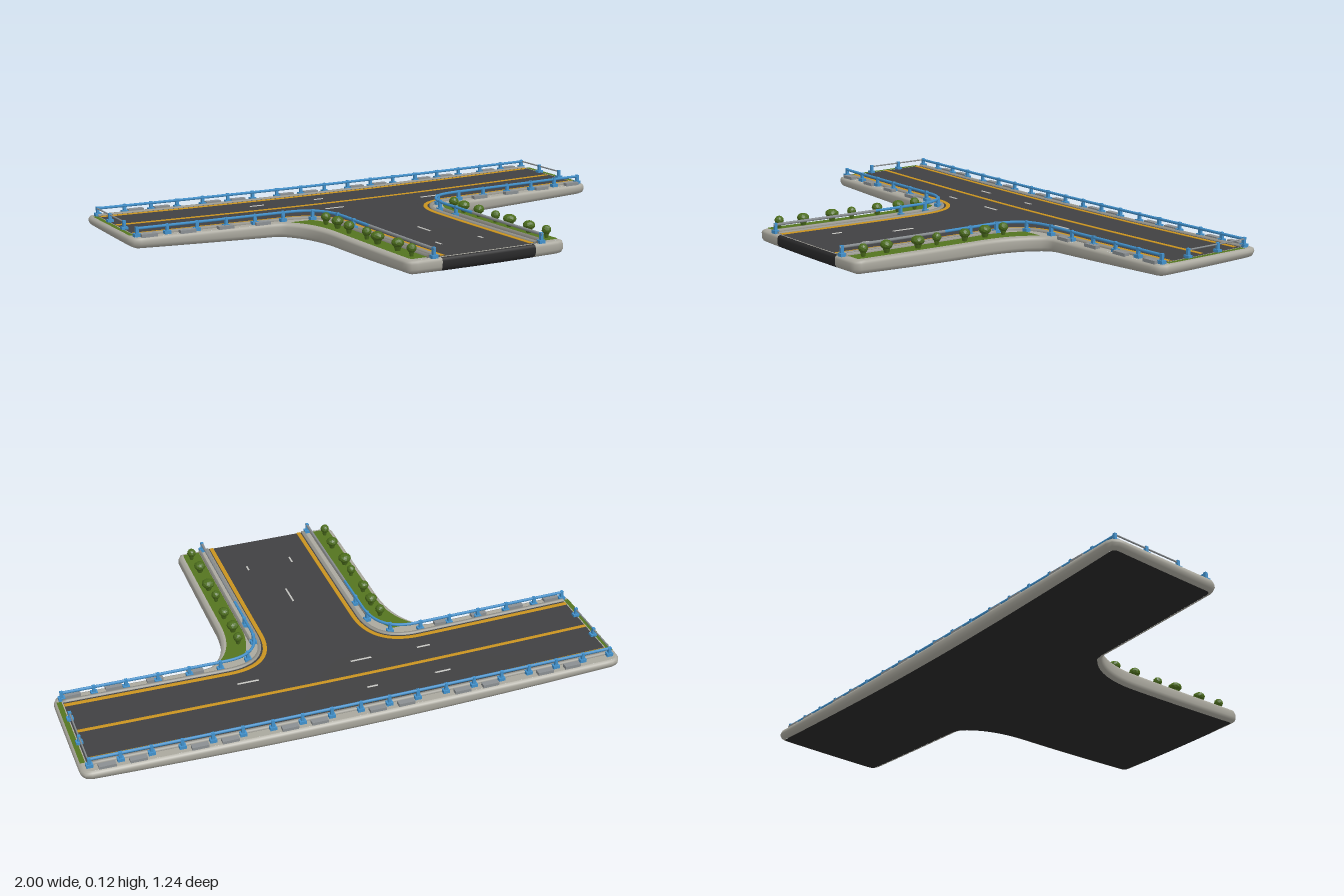
import * as THREE from 'three';

const mat = (name, color, side = THREE.FrontSide) => {
  const m = new THREE.MeshStandardMaterial({ color, side });
  m.name = name;
  return m;
};

// Dished height rules for the deck, underside and handrails
const dish = (x, z) => Math.hypot(x, z) ** 1.3;
const topY = (x, z) => 0.061 + 0.014 * dish(x, z);
const bottomY = (x, z) => 0.035 * dish(x, z);
const railY = (x, z) => 0.097 + 0.008 * dish(x, z);

function geometryFrom(positions, indices) {
  const g = new THREE.BufferGeometry();
  g.setAttribute('position', new THREE.Float32BufferAttribute(positions, 3));
  g.setIndex(indices);
  g.computeVertexNormals();
  return g;
}

// Plan points (x, z) shifted sideways by d; positive is inward for the outline
const offset = (pts, d, closed) => pts.map((p, i) => {
  const n = pts.length;
  const a = pts[closed ? (i + n - 1) % n : Math.max(i - 1, 0)];
  const b = pts[closed ? (i + 1) % n : Math.min(i + 1, n - 1)];
  const t = b.clone().sub(a).normalize();
  return new THREE.Vector2(p.x + t.y * d, p.y - t.x * d);
});

// Curved sheet filling a plan polygon, built in rows along z
function sheet(pts, yAt, cols = 30, faceDown = false) {
  const zs = pts.map(p => p.y), lo = Math.min(...zs) + 1e-4, hi = Math.max(...zs) - 1e-4;
  const rows = [...new Set(zs.flatMap(z => [z - 4e-4, z + 4e-4])
    .map(z => THREE.MathUtils.clamp(z, lo, hi).toFixed(4)))].map(Number).sort((a, b) => a - b);
  const pos = [], idx = [];
  let count = 0;
  for (const z of rows) {
    const xs = [];
    pts.forEach((a, i) => {
      const b = pts[(i + 1) % pts.length];
      if ((a.y <= z) !== (b.y <= z)) xs.push(a.x + (b.x - a.x) * (z - a.y) / (b.y - a.y));
    });
    if (xs.length < 2) continue;
    const x0 = Math.min(...xs), x1 = Math.max(...xs);
    for (let i = 0; i <= cols; i++) {
      const x = x0 + (x1 - x0) * i / cols;
      pos.push(x, yAt(x, z), z);
    }
    if (count++) for (let i = 0; i < cols; i++) {
      const a = (count - 2) * (cols + 1) + i, b = a + 1, c = a + cols + 1, d = c + 1;
      idx.push(...(faceDown ? [a, b, c, b, d, c] : [a, c, b, b, c, d]));
    }
  }
  return geometryFrom(pos, idx);
}

// Raised strip following a plan path
function strip(pts, width, base, height) {
  const l = offset(pts, width / 2), r = offset(pts, -width / 2), pos = [], idx = [];
  pts.forEach((p, i) => {
    [[l, base], [l, base + height], [r, base + height], [r, base]].forEach(([s, h]) =>
      pos.push(s[i].x, topY(p.x, p.y) + h, s[i].y));
    if (i) for (let j = 0; j < 3; j++) {
      const a = (i - 1) * 4 + j, c = a + 4;
      idx.push(a, a + 1, c, a + 1, c + 1, c);
    }
  });
  return geometryFrom(pos, idx);
}

const line = (x0, z0, x1, z1, n = 40) =>
  new THREE.LineCurve(new THREE.Vector2(x0, z0), new THREE.Vector2(x1, z1)).getSpacedPoints(n);
const mirror = pts => pts.map(p => new THREE.Vector2(-p.x, p.y));

// Edge running along the crossbar and turning down the stem
function turn(x, z, xEnd = 0.97, zEnd = 0.6, n = 90) {
  const p = new THREE.Path();
  p.moveTo(xEnd, z);
  p.lineTo(0.37, z);
  p.quadraticCurveTo(x, z, x, -0.03);
  p.lineTo(x, zEnd);
  return p.getSpacedPoints(n);
}

export function createModel() {
  const group = new THREE.Group();
  const concrete = mat('concrete', 0xaaa89e), asphalt = mat('asphalt', 0x404042);
  const dark = mat('dark underside', 0x282829), yellow = mat('yellow paint', 0xc9931f, THREE.DoubleSide);
  const white = mat('white paint', 0xc4c4c0, THREE.DoubleSide), blue = mat('blue metal', 0x4291cc);
  const grey = mat('grey metal', 0x8a8f92), kerbMat = mat('kerb', 0x97968e, THREE.DoubleSide);
  const grass = mat('grass', 0x54741f), leaf = mat('leaves', 0x4b6c1c);
  const add = (name, geo, material, parent = group) => {
    const m = new THREE.Mesh(geo, material);
    m.name = name;
    parent.add(m);
    return m;
  };

  // Slab outline
  const s = new THREE.Path();
  s.moveTo(0, 0.61);
  s.lineTo(0.295, 0.61);
  s.quadraticCurveTo(0.325, 0.61, 0.325, 0.58);
  s.lineTo(0.325, 0.08);
  s.bezierCurveTo(0.325, -0.04, 0.36, -0.12, 0.42, -0.165);
  s.lineTo(0.96, -0.165);
  s.quadraticCurveTo(1, -0.165, 1, -0.205);
  s.lineTo(1, -0.59);
  s.quadraticCurveTo(1, -0.63, 0.96, -0.63);
  s.lineTo(0, -0.63);
  const half = s.getSpacedPoints(130);
  const outline = [...half, ...mirror(half).reverse().slice(1, -1)];

  // Rounded side wall, dark where the road meets the stem end
  const rings = [[0.012, topY, 0], [0.003, topY, -0.004], [0, topY, -0.012],
    [0, bottomY, 0.018], [0.006, bottomY, 0.006], [0.02, bottomY, 0]];
  const pos = [], sides = [], ends = [], N = outline.length;
  rings.forEach(([d, y, h]) => offset(outline, d, true).forEach(p => pos.push(p.x, y(p.x, p.y) + h, p.y)));
  for (let j = 0; j < rings.length - 1; j++) for (let i = 0; i < N; i++) {
    const k = (i + 1) % N, a = j * N + i, b = j * N + k, c = a + N, d = b + N;
    const road = outline[i].y > 0.6 && Math.abs(outline[i].x + outline[k].x) < 0.4;
    (road ? ends : sides).push(a, c, b, b, c, d);
  }
  const wall = geometryFrom(pos, [...sides, ...ends]);
  wall.addGroup(0, sides.length, 0);
  wall.addGroup(sides.length, ends.length, 1);
  add('slabSide', wall, [concrete, dark]);
  add('sidewalk', sheet(offset(outline, 0.012, true), topY, 40), concrete);
  add('underside', sheet(offset(outline, 0.02, true), bottomY, 40, true), dark);

  // Road surface
  const edge = turn(0.2, -0.212);
  const roadPts = [...edge, ...mirror(edge).reverse(), ...line(-0.97, -0.22, -0.97, -0.58, 20), new THREE.Vector2(0.97, -0.58)];
  add('road', sheet(roadPts, (x, z) => topY(x, z) + 0.003, 40), asphalt);

  // Road markings and back kerb
  for (const z of [-0.555, -0.395]) add('yellowLine', strip(line(-0.97, z, 0.96, z), 0.013, 0.003, 0.0025), yellow);
  add('backKerb', strip(line(-0.97, -0.58, 0.97, -0.58), 0.012, 0, 0.009), kerbMat);
  for (const [x0, z0, x1, z1] of [[-0.39, -0.475, -0.33, -0.475], [-0.38, -0.305, -0.33, -0.305],
    [-0.15, -0.305, -0.07, -0.305], [0.28, -0.305, 0.36, -0.305], [-0.11, -0.475, -0.07, -0.475],
    [-0.005, 0.14, -0.005, 0.23], [-0.09, 0.4, -0.09, 0.44], [0.09, 0.4, 0.09, 0.43]])
    add('whiteDash', strip(line(x0, z0, x1, z1, 4), 0.006, 0.003, 0.0025), white);

  // Railings: a tube on posts with small feet
  const rail = (name, pts, material, r = 0.0055) => add(name, new THREE.TubeGeometry(
    new THREE.CatmullRomCurve3(pts.map(p => new THREE.Vector3(p.x, railY(p.x, p.y), p.y))), pts.length, r, 6), material);
  const postGeo = new THREE.BoxGeometry(0.011, 1, 0.011), footGeo = new THREE.BoxGeometry(0.024, 0.012, 0.02);
  const post = (x, z) => {
    const y = topY(x, z), h = railY(x, z) + 0.006 - y;
    const p = add('railPost', postGeo, blue);
    p.scale.y = h;
    p.position.set(x, y + h / 2, z);
    add('postFoot', footGeo, blue).position.set(x, y + 0.006, z);
  };
  rail('backRail', line(-0.97, -0.59, 0.97, -0.59), blue);
  const blockGeo = new THREE.BoxGeometry(0.06, 0.012, 0.022);
  for (let i = 0; i < 19; i++) {
    const x = -0.965 + i * 1.93 / 18;
    post(x, -0.592);
    if (i % 3 && i < 18) add('backBlock', blockGeo, grey).position.set(x + 0.05, topY(x, -0.61) + 0.005, -0.608);
  }

  // Parts repeated on both sides
  const bushGeo = new THREE.IcosahedronGeometry(0.023, 1).toNonIndexed();
  bushGeo.computeVertexNormals();
  const stalkGeo = new THREE.CylinderGeometry(0.016, 0.007, 0.028, 6);
  for (const side of [1, -1]) {
    const m = pts => side > 0 ? pts : mirror(pts);
    add('yellowEdge', strip(m(turn(0.184, -0.235)), 0.015, 0.003, 0.0025), yellow);
    add('kerb', strip(m(turn(0.203, -0.212)), 0.012, 0, 0.009), kerbMat);
    const fence = m(turn(0.222, -0.196, 0.97, 0.61));
    rail('turnRail', fence.slice(0, 64), blue);
    rail('stemRail', fence.slice(63), grey);
    fence.forEach((p, i) => { if (i % 7 === 0 && (i < 60 || i > 85)) post(p.x, p.y); });
    post(fence[90].x, 0.6);
    for (let x = 0.48; x < 0.95; x += 0.15)
      add('frontBlock', blockGeo, grey).position.set(side * x, topY(x, -0.18) + 0.005, -0.183);
    add('stemKerb', strip(m(line(0.234, -0.06, 0.234, 0.59)), 0.007, 0, 0.012), kerbMat);

    // Bar end rail and grass
    rail('endRail', m(line(0.968, -0.59, 0.968, -0.32, 8)), grey, 0.003);
    for (const z of [-0.32, -0.46]) post(side * 0.968, z);
    add('endGrass', sheet(m([...line(0.974, -0.57, 0.974, -0.21, 12), ...line(0.992, -0.21, 0.992, -0.57, 12)]),
      (x, z) => topY(x, z) + 0.003, 2), grass);

    // Grass verge with shrubs
    const v = new THREE.Path();
    v.moveTo(0.24, 0.588);
    v.lineTo(0.306, 0.588);
    v.lineTo(0.306, 0.08);
    v.bezierCurveTo(0.306, -0.04, 0.335, -0.11, 0.385, -0.155);
    v.lineTo(0.29, -0.155);
    v.quadraticCurveTo(0.25, -0.1, 0.24, 0);
    v.lineTo(0.24, 0.588);
    add('grassVerge', sheet(m(v.getSpacedPoints(80)), (x, z) => topY(x, z) + 0.004, 4), grass);
    [-0.06, 0.02, 0.115, 0.235, 0.32, 0.45, 0.55].forEach((z, i) => {
      const shrub = new THREE.Group();
      shrub.name = 'shrub';
      const x = side * (i % 2 ? 0.275 : 0.28), k = [0.8, 1, 0.9, 0.75, 1.1, 1, 0.75][i];
      add('shrubStalk', stalkGeo, leaf, shrub).position.y = 0.012;
      const crown = add('shrubCrown', bushGeo, leaf, shrub);
      crown.position.y = 0.033;
      crown.scale.y = 0.75;
      shrub.scale.set(k, 1, k);
      shrub.rotation.y = i * 1.3;
      shrub.position.set(x, topY(x, z), z);
      group.add(shrub);
    });
  }
  return group;
}
